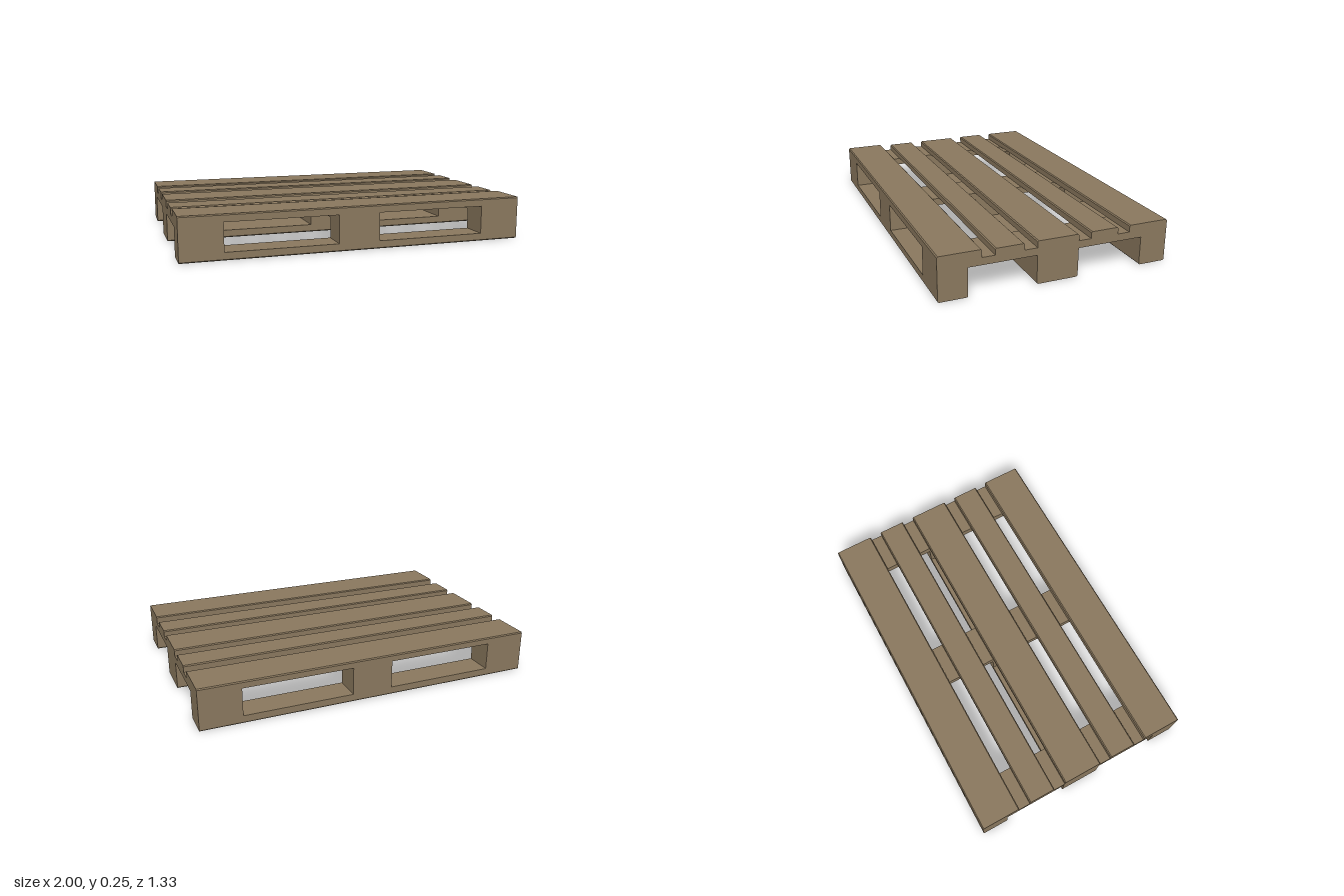
import * as THREE from 'three';

export function createModel() {
  const wood = new THREE.MeshStandardMaterial({ color: 0x8a785e });
  wood.name = 'weathered wood';
  const pallet = new THREE.Group();
  pallet.name = 'pallet';

  const add = (name, geometry, x, y, z) => {
    const mesh = new THREE.Mesh(geometry, wood);
    mesh.name = name;
    mesh.position.set(x, y, z);
    pallet.add(mesh);
  };

  // Full-length board along x; its outer long edges are slightly worn off
  const board = (name, z0, z1, y0, y1, wornTop) => {
    const w = (z1 - z0) / 2, h = (y1 - y0) / 2, c = 0.006, s = wornTop ? 1 : -1;
    const points = [[-w, -h], [w, -h], [w, h - c], [w - c, h], [-w + c, h], [-w, h - c]]
      .map(([x, y]) => new THREE.Vector2(x, y * s));
    const geometry = new THREE.ExtrudeGeometry(new THREE.Shape(points), { depth: 2, bevelEnabled: false });
    geometry.translate(0, 0, -1).rotateY(Math.PI / 2);
    add(name, geometry, 0, (y0 + y1) / 2, (z0 + z1) / 2);
  };

  // Deck slats: z from, z to, top height
  [
    [-0.665, -0.427, 0.246],
    [-0.356, -0.193, 0.246],
    [-0.12, 0.12, 0.245],
    [0.192, 0.356, 0.244],
    [0.427, 0.665, 0.251],
  ].forEach(([z0, z1, top]) => board('deckSlat', z0, z1, 0.207, top, true));

  // Runners, each standing on three blocks
  const rows = [[-0.665, -0.503], [-0.12, 0.12], [0.503, 0.665]];
  for (const x of [-0.88, 0, 0.88]) {
    add('crossRunner', new THREE.BoxGeometry(0.24, 0.042, 1.33), x, 0.186, 0);
    for (const [z0, z1] of rows) {
      add('spacerBlock', new THREE.BoxGeometry(0.24, 0.12, z1 - z0), x, 0.105, (z0 + z1) / 2);
    }
  }

  // Bottom skids under each row of blocks
  rows.forEach(([z0, z1]) => board('bottomSkid', z0, z1, 0, 0.045, false));

  return pallet;
}
